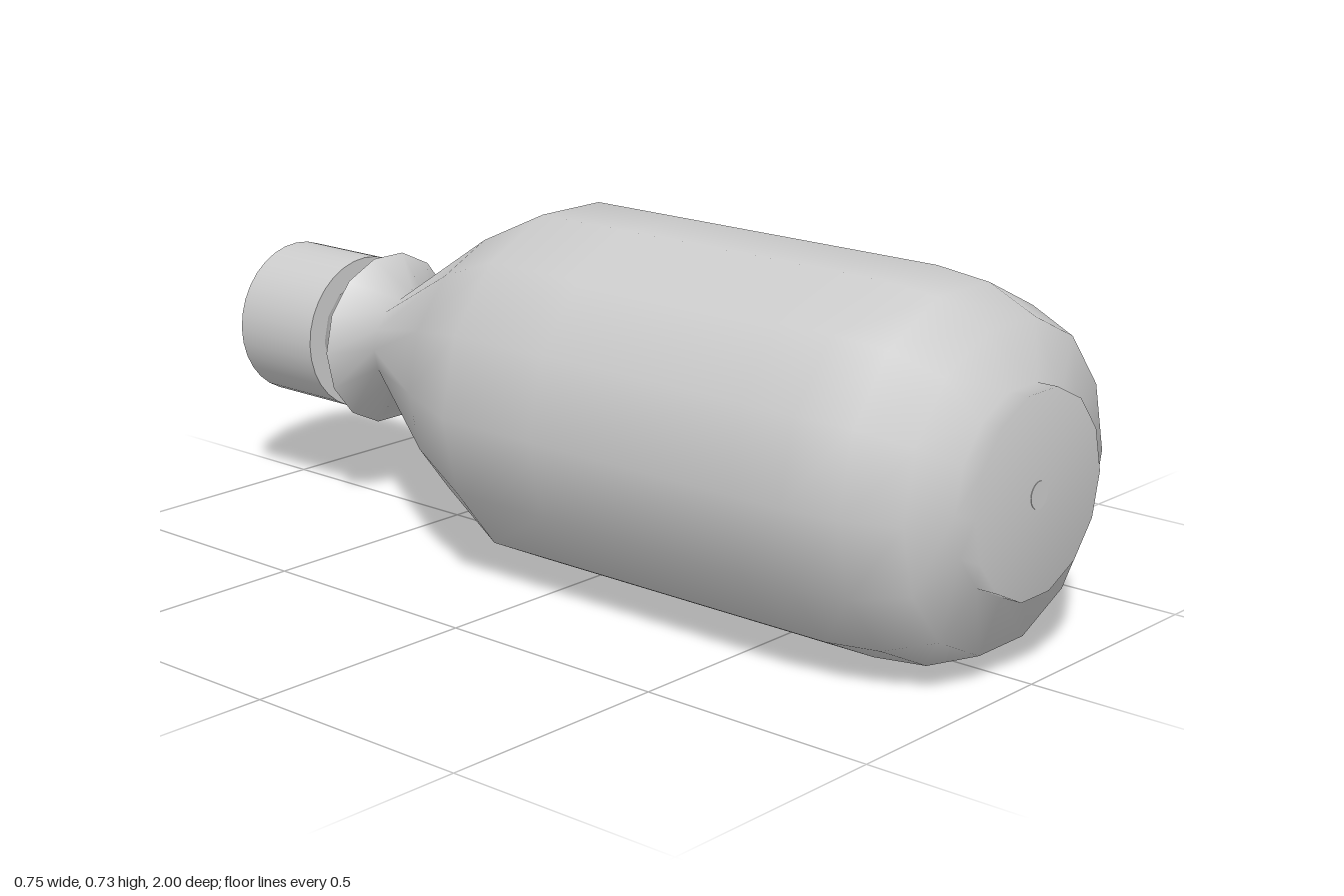
import * as THREE from 'three';

const AXIS_Y = 0.367; // height of the bottle's axis while lying down

export function createModel() {
  const group = new THREE.Group();
  const material = new THREE.MeshStandardMaterial({ color: 0xcccccc });

  // Lays a geometry made around the y axis down along z.
  const addPart = (name, geometry, z = 0) => {
    geometry.rotateX(Math.PI / 2);
    const mesh = new THREE.Mesh(geometry, material);
    mesh.name = name;
    mesh.position.set(0, AXIS_Y, z);
    group.add(mesh);
  };

  // Bottle: 14-sided smooth lathe from the mouth (back) to the foot (front).
  const profile = [
    [0, -0.78], [0.125, -0.775], [0.147, -0.738], [0.188, -0.70], // neck ring
    [0.1, -0.645], [0.29, -0.34], [0.375, -0.155],                // shoulder
    [0.375, 0.08], [0.375, 0.58], [0.375, 0.70],                  // straight wall
    [0.362, 0.82], [0.316, 0.93],                                 // rounded bottom
    [0.2, 0.957], [0.2, 1], [0, 1],                               // foot
  ].map(([r, z]) => new THREE.Vector2(r, z));
  addPart('bottleBody', new THREE.LatheGeometry(profile, 14, Math.PI / 2));

  // Screw cap
  addPart('cap', new THREE.CylinderGeometry(0.168, 0.168, 0.225, 32), -0.8875);

  // Small round mark in the middle of the foot
  addPart('footButton', new THREE.CylinderGeometry(0.027, 0.027, 0.02, 24), 0.991);

  return group;
}
